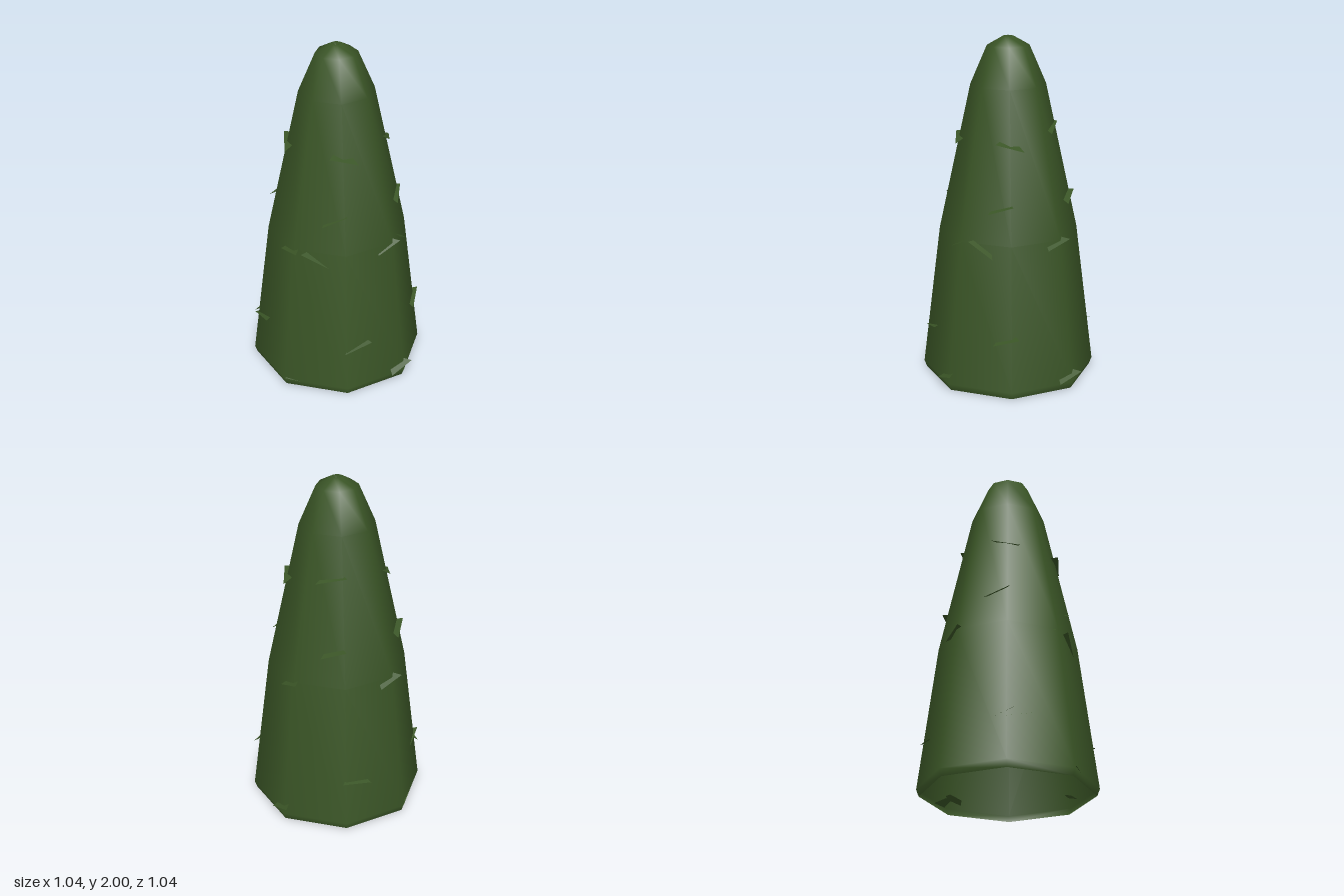
import * as THREE from 'three';

const green = new THREE.MeshStandardMaterial({ color: 0x3a5526, side: THREE.DoubleSide });
green.name = 'dark foliage green';

const CENTRE = -0.015;

// Needle tufts: long edge from (x1, z1) to (x2, z2), mid height, rise along the edge
const TUFTS = [
  // foot
  [-0.12, 0.48, 0.02, 0.52, 0.075, 0.05],
  [0.48, 0.08, 0.52, -0.06, 0.075, 0.05],
  [-0.18, -0.45, -0.02, -0.525, 0.05, 0.02],
  [-0.525, -0.01, -0.45, 0.14, 0.04, -0.02],
  [0.48, -0.04, 0.41, -0.18, 0.03, -0.02],
  // lower corners
  [-0.37, 0.32, -0.22, 0.4, 0.29, 0.04],
  [0.23, 0.38, 0.37, 0.31, 0.335, 0.05],
  [0.35, -0.35, 0.19, -0.43, 0.29, -0.03],
  [-0.26, -0.39, -0.4, -0.34, 0.31, 0.04],
  [-0.35, -0.38, -0.43, -0.22, 0.3, 0.04],
  // middle
  [-0.11, 0.36, 0.02, 0.415, 0.86, 0.06],
  [0.38, 0.08, 0.42, -0.06, 0.86, 0.05],
  [0.08, -0.41, -0.06, -0.45, 0.86, 0.05],
  [-0.4, -0.12, -0.45, 0.03, 0.86, 0.03],
  [0.05, 0.39, 0.19, 0.34, 0.85, -0.09],
  [-0.43, 0.05, -0.34, 0.19, 0.83, -0.09],
  // upper corners
  [0.13, 0.315, 0.26, 0.24, 1.075, 0.05],
  [0.32, -0.16, 0.25, -0.29, 1.075, 0.05],
  [-0.16, -0.35, -0.3, -0.28, 1.075, 0.05],
  [-0.34, 0.13, -0.26, 0.25, 1.07, 0.07],
  // near the top
  [0.13, 0.25, 0.26, 0.15, 1.42, -0.04],
  [0.26, -0.08, 0.17, -0.23, 1.485, 0.04],
  [-0.15, -0.29, -0.29, -0.17, 1.42, -0.04],
  [-0.28, 0.14, -0.17, 0.26, 1.42, -0.04],
];

// Trapezoid plate whose short edge points in toward the trunk
function tuft([x1, z1, x2, z2, y, rise]) {
  const a = new THREE.Vector3(x1, y - rise / 2, z1);
  const b = new THREE.Vector3(x2, y + rise / 2, z2);
  const inward = new THREE.Vector3(CENTRE - (x1 + x2) / 2, 0, CENTRE - (z1 + z2) / 2)
    .setLength(0.065).setY(0.025);
  const c = a.clone().lerp(b, 0.75).add(inward);
  const d = a.clone().lerp(b, 0.25).add(inward);
  const geometry = new THREE.BufferGeometry().setFromPoints([a, b, c, d]);
  geometry.setIndex([0, 1, 2, 0, 2, 3]);
  geometry.computeVertexNormals();
  const mesh = new THREE.Mesh(geometry, green);
  mesh.name = 'needleTuft';
  return mesh;
}

export function createModel() {
  const group = new THREE.Group();
  group.name = 'coneShrub';

  // Eight-sided open body with a dimpled tip
  const profile = [
    [0.49, 0], [0.505, 0.04], [0.4, 0.88], [0.215, 1.73],
    [0.12, 1.95], [0.03, 2], [0, 1.98],
  ].map(([r, y]) => new THREE.Vector2(r, y));
  const body = new THREE.Mesh(new THREE.LatheGeometry(profile, 8), green);
  body.name = 'foliageBody';
  body.position.set(CENTRE, 0, CENTRE);
  group.add(body);

  const tufts = new THREE.Group();
  tufts.name = 'needleTufts';
  for (const t of TUFTS) tufts.add(tuft(t));
  group.add(tufts);

  return group;
}
